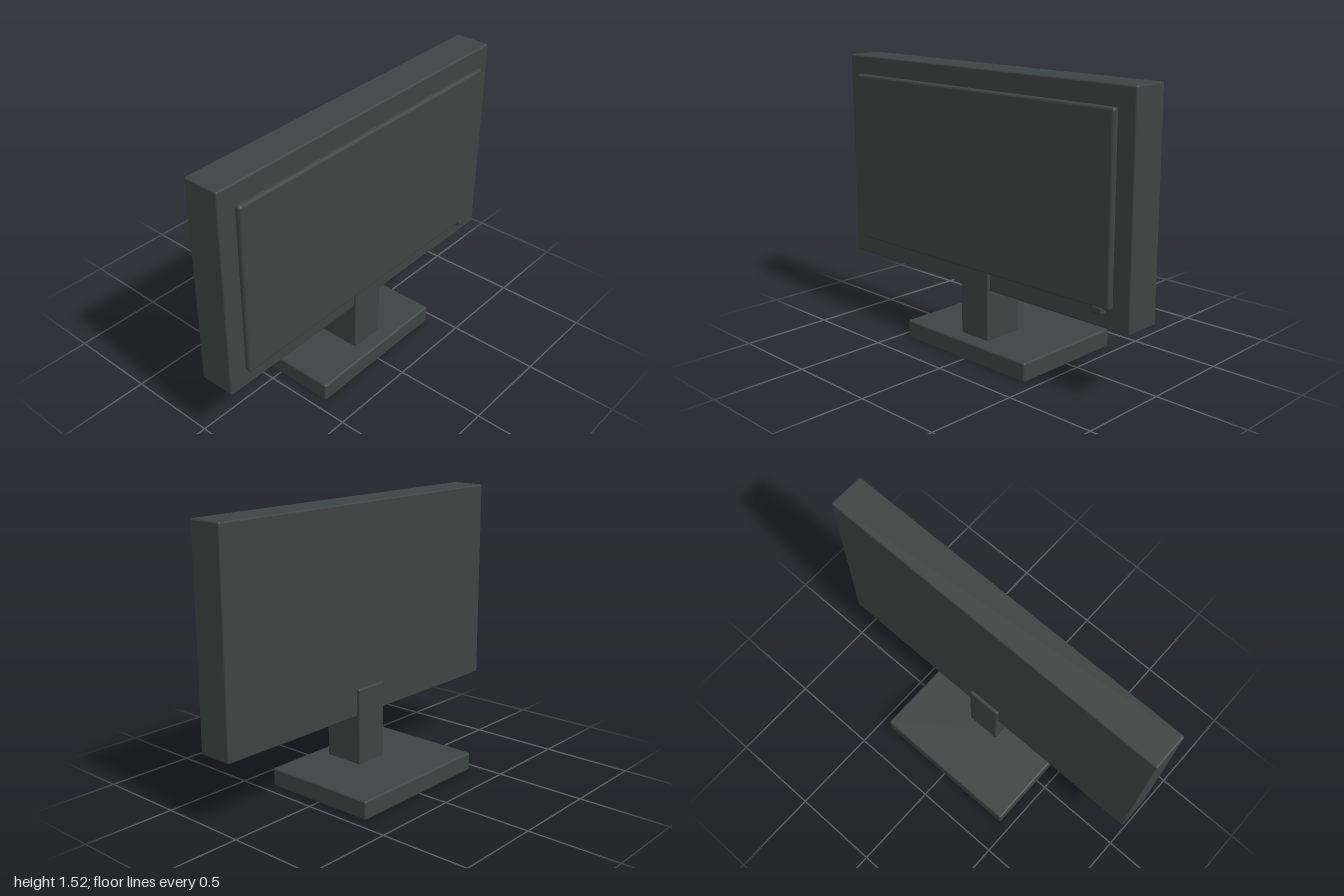
import * as THREE from 'three';
import { RoundedBoxGeometry } from 'three/addons/geometries/RoundedBoxGeometry.js';

export function createModel() {
  const model = new THREE.Group();
  model.name = 'monitor';
  const plastic = new THREE.MeshStandardMaterial({ color: 0x3e4443 });
  plastic.name = 'dark grey plastic';

  // Rounded box given by its minimum and maximum corners
  function addBox(name, min, max, radius) {
    const size = max.map((v, i) => v - min[i]);
    const mesh = new THREE.Mesh(new RoundedBoxGeometry(...size, 3, radius), plastic);
    mesh.position.set(...min.map((v, i) => (v + max[i]) / 2));
    mesh.name = name;
    model.add(mesh);
  }

  // Stand: flat foot and upright neck that grips the lower housing
  addBox('base', [-0.44, 0, -0.333], [0.44, 0.104, 0.333], 0.012);
  addBox('neck', [-0.1, 0.09, 0.012], [0.1, 0.53, 0.248], 0.01);

  // Display: deep housing with a raised screen panel and power button
  addBox('housing', [-1, 0.374, 0.03], [1, 1.521, 0.231], 0.01);
  addBox('screen', [-0.906, 0.477, 0.229], [0.906, 1.42, 0.268], 0.016);
  addBox('powerButton', [0.8, 0.448, 0.229], [0.865, 0.49, 0.27], 0.012);

  return model;
}
